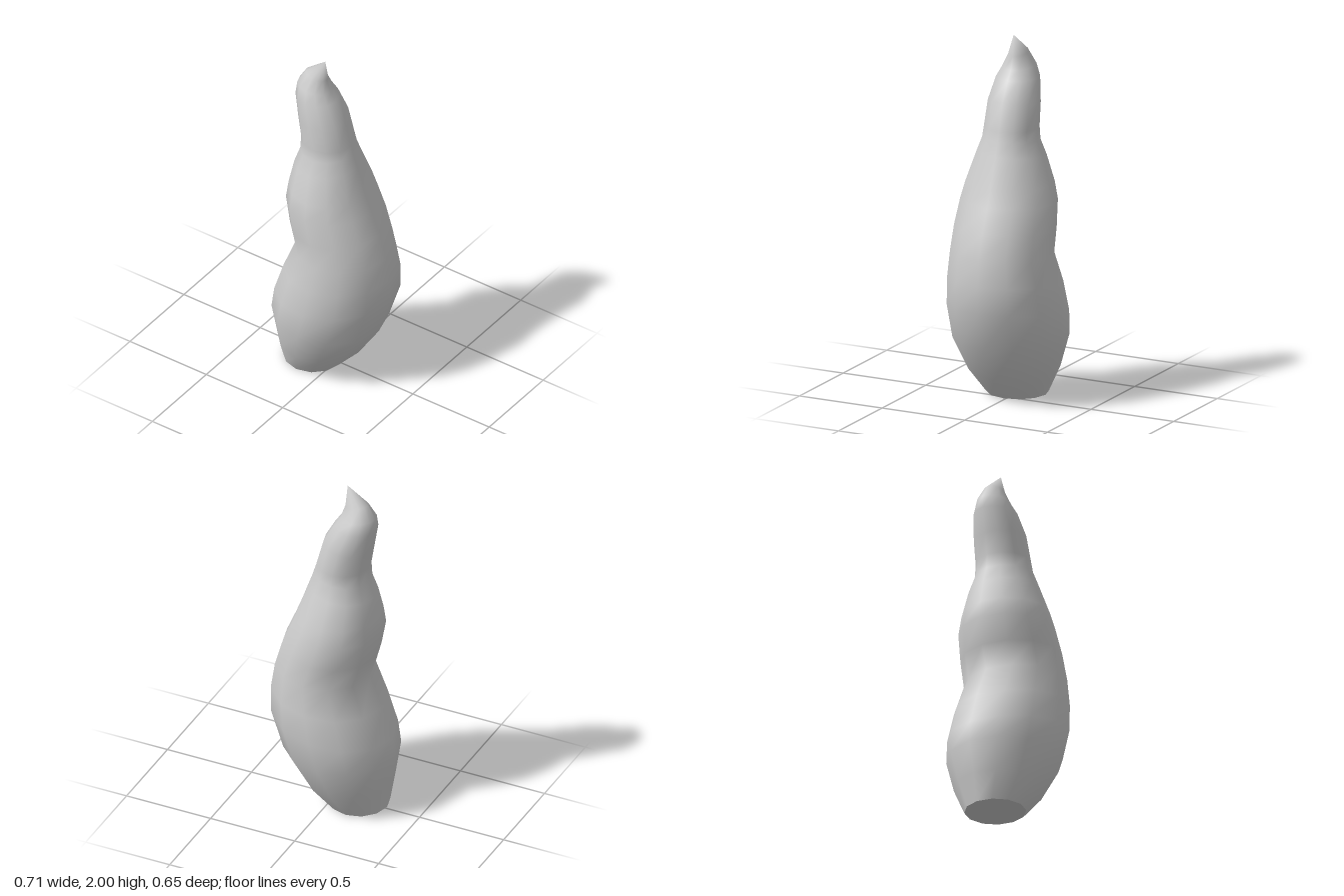
import * as THREE from 'three';

const SIDES = 12;

// Cross-sections from foot to tip: left x, left y, right x, right y, half depth, z offset
const RINGS = [
  [-0.30, 0, 0.03, 0, 0.168, 0.015],
  [-0.325, 0.16, 0.15, 0.13, 0.25, 0.01],
  [-0.355, 0.34, 0.28, 0.33, 0.312, 0.005],
  [-0.34, 0.46, 0.35, 0.55, 0.323, 0],
  [-0.28, 0.64, 0.352, 0.70, 0.31, 0],
  [-0.205, 0.82, 0.33, 0.84, 0.283, 0.005],
  [-0.24, 0.95, 0.29, 0.98, 0.278, 0.005],
  [-0.268, 1.10, 0.235, 1.11, 0.265, 0.005],
  [-0.255, 1.20, 0.20, 1.20, 0.243, 0.005],
  [-0.23, 1.33, 0.14, 1.37, 0.19, 0.005],
  [-0.20, 1.42, 0.115, 1.45, 0.156, 0.005],
  [-0.195, 1.50, 0.10, 1.50, 0.15, 0.005],
  [-0.215, 1.62, 0.06, 1.65, 0.143, 0.005],
  [-0.24, 1.76, 0.00, 1.76, 0.118, 0.005],
  [-0.235, 1.83, -0.035, 1.81, 0.09, 0.005],
  [-0.19, 1.905, -0.06, 1.88, 0.052, 0.005],
];
const TIP = [-0.07, 2, 0.005];

// Points of one tilted elliptical cross-section
function ringPoints([lx, ly, rx, ry, depth, cz]) {
  const points = [];
  for (let i = 0; i < SIDES; i++) {
    const a = (i / SIDES) * Math.PI * 2;
    const t = (1 + Math.cos(a)) / 2;
    points.push(lx + (rx - lx) * t, ly + (ry - ly) * t, cz + depth * Math.sin(a));
  }
  return points;
}

function makeMesh(name, positions, indices, material) {
  const geometry = new THREE.BufferGeometry();
  geometry.setAttribute('position', new THREE.Float32BufferAttribute(positions, 3));
  geometry.setIndex(indices);
  geometry.computeVertexNormals();
  const mesh = new THREE.Mesh(geometry, material);
  mesh.name = name;
  return mesh;
}

export function createModel() {
  const group = new THREE.Group();
  group.name = 'curvedHorn';
  const material = new THREE.MeshStandardMaterial({ color: 0xcccccc });

  // Bulging body, skinned ring to ring and closed at the curled tip
  const positions = [...RINGS.flatMap(ringPoints), ...TIP];
  const indices = [];
  const tip = RINGS.length * SIDES;
  for (let r = 0; r < RINGS.length; r++) {
    for (let i = 0; i < SIDES; i++) {
      const a = r * SIDES + i;
      const b = r * SIDES + ((i + 1) % SIDES);
      if (r === RINGS.length - 1) indices.push(a, tip, b);
      else indices.push(a, a + SIDES, b, b, a + SIDES, b + SIDES);
    }
  }
  group.add(makeMesh('body', positions, indices, material));

  // Flat underside
  const capIndices = [];
  for (let i = 1; i < SIDES - 1; i++) capIndices.push(0, i, i + 1);
  group.add(makeMesh('base', ringPoints(RINGS[0]), capIndices, material));

  return group;
}
